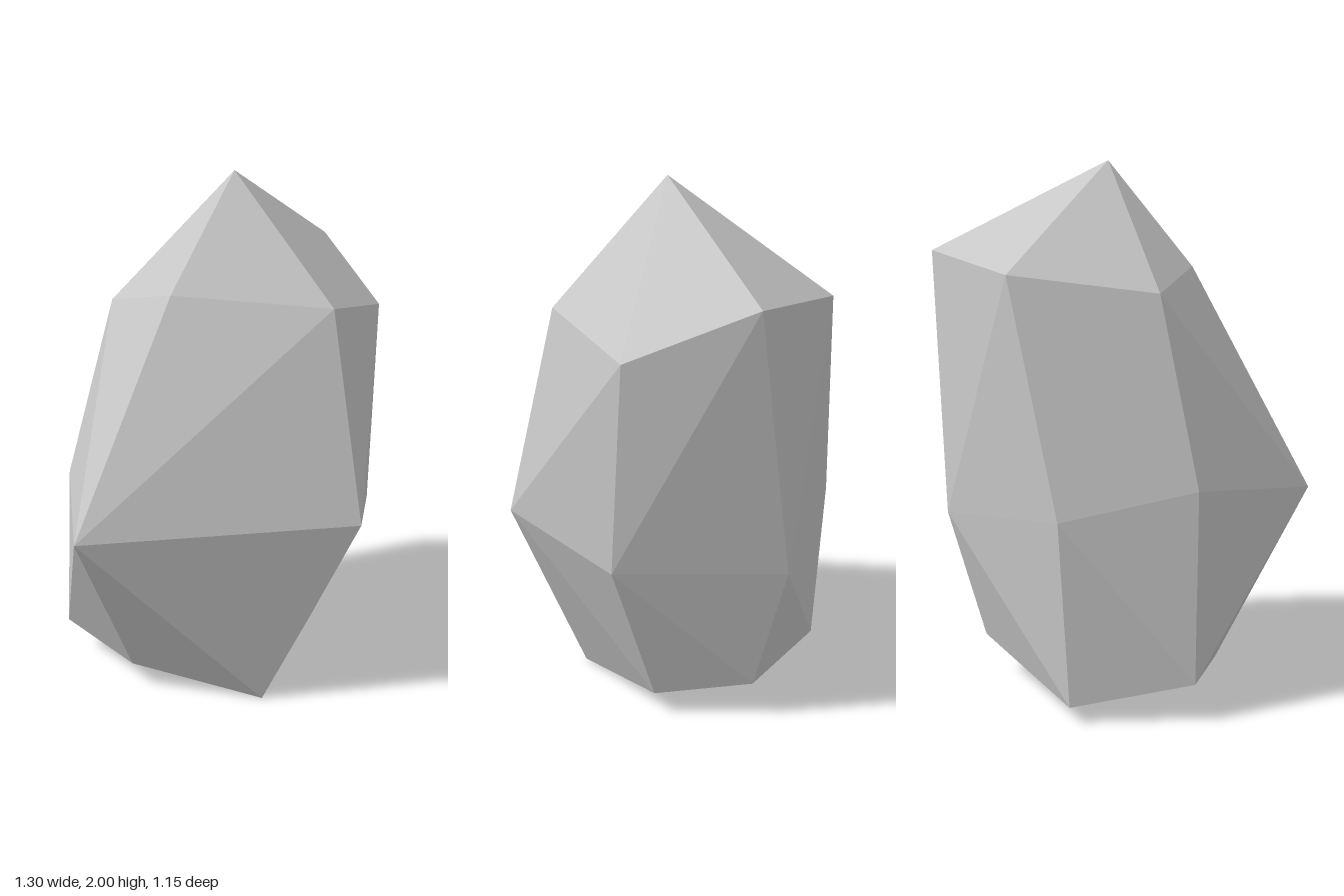
import * as THREE from 'three';
import { ConvexGeometry } from 'three/addons/geometries/ConvexGeometry.js';

// Corner points, ring by ring, counter-clockwise from above starting at the front
const APEX = [[0.07, 2.0, 0.025]];
const UPPER = [
  [0.302, 1.56, 0.40], [0.65, 1.467, 0.083], [0.63, 1.66, -0.375],
  [0.035, 1.577, -0.577], [-0.34, 1.51, -0.185], [-0.225, 1.60, 0.17],
];
const MIDDLE = [
  [0.357, 0.79, 0.575], [0.61, 0.683, 0.137], [0.463, 0.66, -0.475],
  [-0.197, 0.73, -0.577], [-0.53, 0.825, -0.205], [-0.652, 0.773, 0.34],
];
const LOWER = [
  [0.063, 0, 0.375], [0.427, 0.097, 0.02], [0.39, 0.153, -0.35],
  [-0.215, 0.058, -0.54], [-0.553, 0.138, -0.25], [-0.387, 0.105, 0.118],
];

export function createModel() {
  const group = new THREE.Group();
  group.name = 'rock';

  const stone = new THREE.MeshStandardMaterial({ color: 0xc8c8c8 });
  stone.name = 'stone grey';

  // the boulder is the convex, flat-faceted skin around its corners
  const corners = [...APEX, ...UPPER, ...MIDDLE, ...LOWER].map((p) => new THREE.Vector3(...p));
  const boulder = new THREE.Mesh(new ConvexGeometry(corners), stone);
  boulder.name = 'boulder';
  group.add(boulder);
  return group;
}
